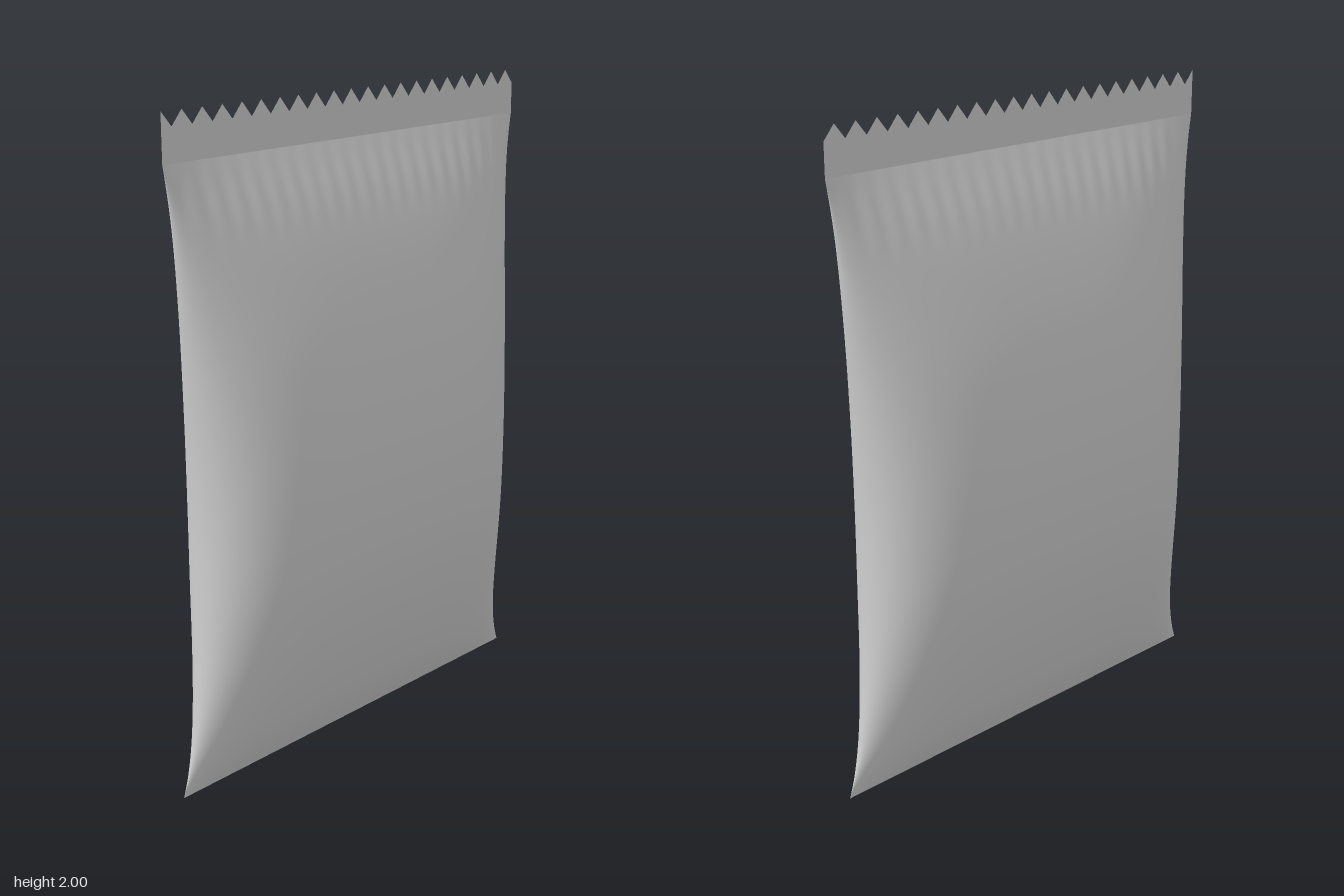
import * as THREE from 'three';

const SEAL_Y = 1.86, HALF = 0.75, TEETH = 20.5;

// Half-thickness, height and half-width of the pouch from bottom seam to top seal
const outline = new THREE.CatmullRomCurve3([
  [0, 0, 0.75], [0.045, 0.07, 0.727], [0.098, 0.18, 0.7], [0.165, 0.38, 0.67],
  [0.21, 0.6, 0.652], [0.225, 0.82, 0.645], [0.217, 1.03, 0.65], [0.185, 1.27, 0.668],
  [0.13, 1.5, 0.695], [0.07, 1.69, 0.721], [0, SEAL_Y, HALF],
].map(p => new THREE.Vector3(...p)));

// Inflated pouch: rounded cross-sections stacked upwards, pinched flat at both ends
function pouchGeometry(rows = 56, sides = 256) {
  const pos = [], index = [];
  for (let j = 0; j <= rows; j++) {
    const { x: thick, y, z: width } = outline.getPoint(j / rows);
    // crimp ripples fade in just under the top seal
    const ripple = 0.05 * THREE.MathUtils.smoothstep(y, 1.62, 1.8);
    for (let i = 0; i < sides; i++) {
      const a = (i / sides) * Math.PI * 2, c = Math.cos(a), s = Math.sin(a);
      const wave = 1 + ripple * Math.cos((1 - c) * TEETH * Math.PI);
      pos.push(thick * s * Math.sqrt(1 + c * c) * wave, y, width * c);
      if (j < rows) {
        const k = (i + 1) % sides, b = j * sides, t = b + sides;
        index.push(b + i, b + k, t + k, b + i, t + k, t + i);
      }
    }
  }
  const g = new THREE.BufferGeometry();
  g.setAttribute('position', new THREE.Float32BufferAttribute(pos, 3));
  g.setIndex(index);
  g.computeVertexNormals();
  return g;
}

// Flat top seal with a zigzag cut edge
function sealGeometry() {
  const shape = new THREE.Shape();
  shape.moveTo(-HALF, SEAL_Y);
  const steps = TEETH * 2;
  for (let i = 0; i <= steps; i++) {
    shape.lineTo(-HALF + (2 * HALF * i) / steps, i % 2 ? 2 : 1.957);
  }
  shape.lineTo(HALF, SEAL_Y);
  return new THREE.ShapeGeometry(shape).rotateY(-Math.PI / 2);
}

export function createModel() {
  const group = new THREE.Group();
  group.name = 'snackBag';
  const material = new THREE.MeshStandardMaterial({ color: 0xcccccc, side: THREE.DoubleSide });
  const add = (name, geometry) => {
    const mesh = new THREE.Mesh(geometry, material);
    mesh.name = name;
    group.add(mesh);
  };
  add('pouch', pouchGeometry());
  add('topSeal', sealGeometry());
  return group;
}
